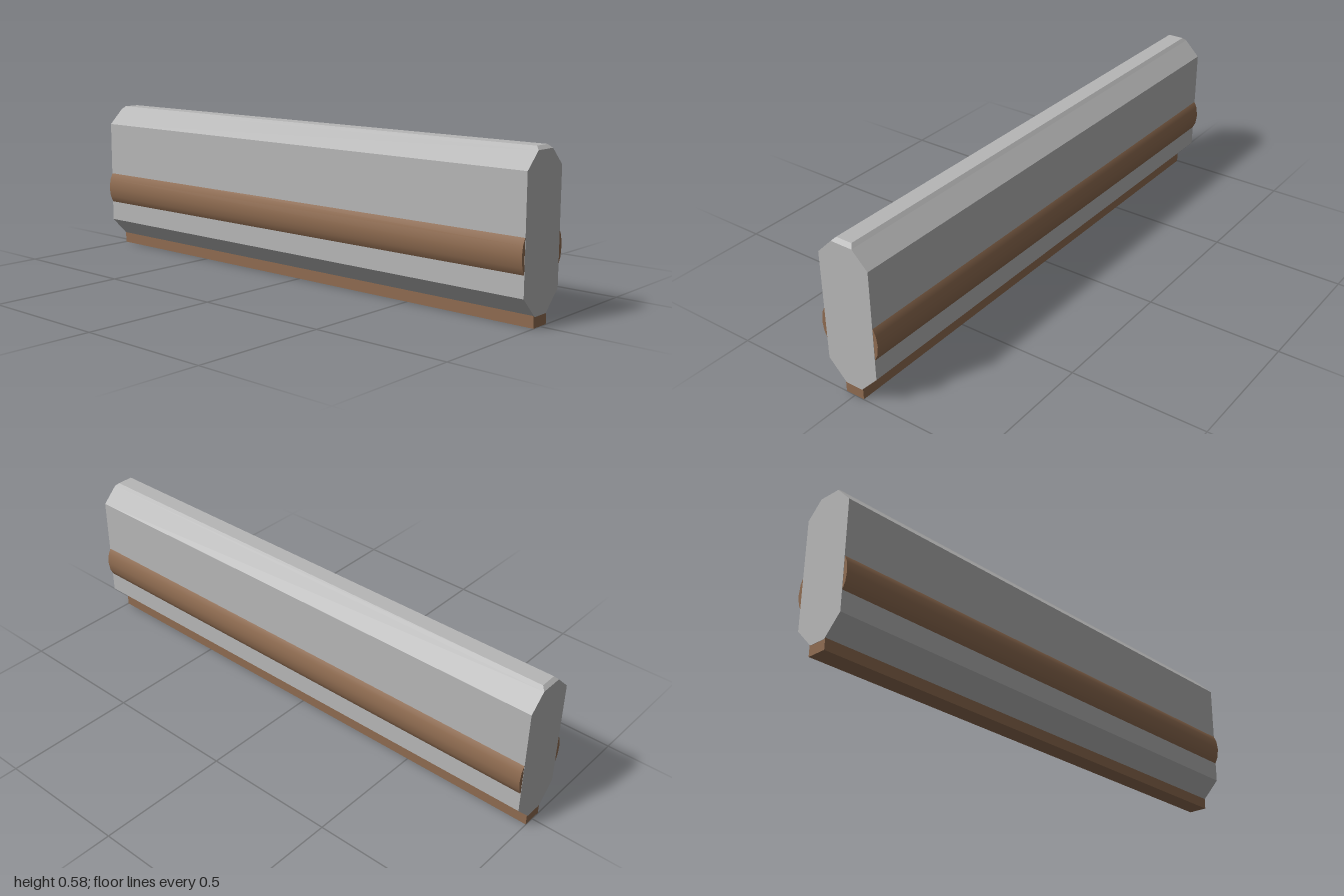
import * as THREE from 'three';

export function createModel() {
  const grey = new THREE.MeshStandardMaterial({ color: 0xb6b6b6 });
  grey.name = 'grey';
  const brown = new THREE.MeshStandardMaterial({ color: 0x8e6b50 });
  brown.name = 'brown';

  const model = new THREE.Group();
  model.name = 'beam';
  const add = (name, geometry, material) => {
    const mesh = new THREE.Mesh(geometry, material);
    mesh.name = name;
    model.add(mesh);
    return mesh;
  };

  // Long body with chamfered corners
  const half = [[0.033, 0.037], [0.101, 0.107], [0.101, 0.507], [0.042, 0.565]];
  const mirrored = half.map(([x, y]) => [-x, y]).reverse();
  const outline = new THREE.Shape([...half, ...mirrored].map(([x, y]) => new THREE.Vector2(x, y)));
  const body = new THREE.ExtrudeGeometry(outline, { depth: 2, bevelEnabled: false });
  body.translate(0, 0, -1);
  add('body', body, grey);

  // Top ridge, tapering inward on all sides
  const ridge = new THREE.BoxGeometry(0.084, 0.012, 2);
  const p = ridge.attributes.position;
  for (let i = 0; i < p.count; i++) {
    if (p.getY(i) > 0) {
      p.setX(i, Math.sign(p.getX(i)) * 0.031);
      p.setZ(i, Math.sign(p.getZ(i)) * 0.987);
    }
  }
  ridge.translate(0, 0.571, 0);
  const flatRidge = ridge.toNonIndexed();
  flatRidge.computeVertexNormals();
  add('topRidge', flatRidge, grey);

  // Rounded side rails, partly sunk into the body
  for (const side of [1, -1]) {
    const rail = new THREE.CylinderGeometry(1, 1, 1.998, 16);
    rail.rotateX(Math.PI / 2);
    rail.scale(0.067, 0.093, 1);
    rail.translate(side * 0.0505, 0.2415, 0);
    add(side > 0 ? 'leftRail' : 'rightRail', rail, brown);
  }

  // Keel strip under the body
  add('keel', new THREE.BoxGeometry(0.074, 0.045, 1.998), brown).position.y = 0.0225;

  return model;
}
